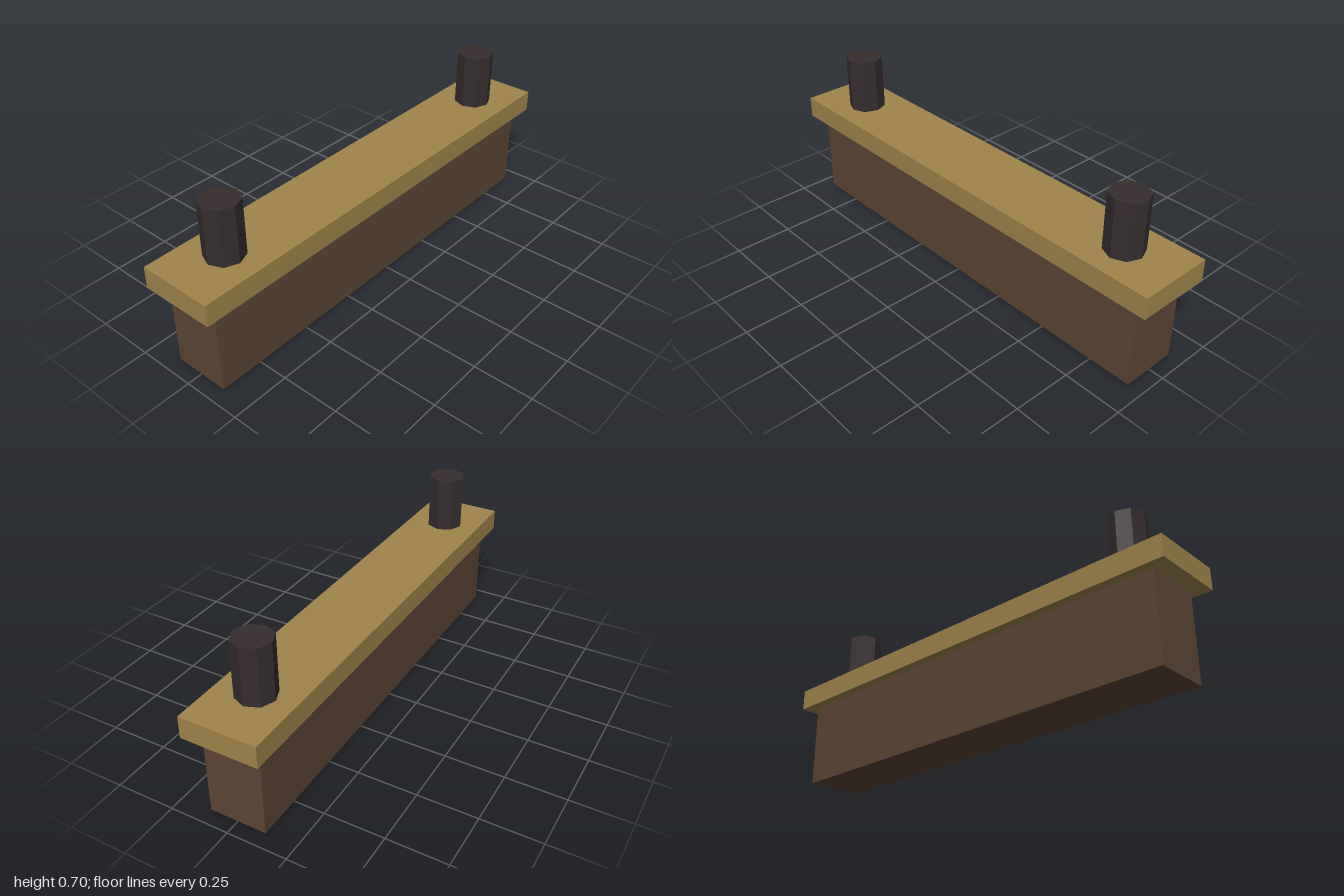
import * as THREE from 'three';

const mat = (name, color) => {
  const m = new THREE.MeshStandardMaterial({ color });
  m.name = name;
  return m;
};

export function createModel() {
  const model = new THREE.Group();
  model.name = 'postedWall';

  const brown = mat('dark brown', 0x5c4535);
  const tan = mat('tan', 0xa0844a);
  const charcoal = mat('charcoal', 0x362d2f);

  const add = (name, geometry, material, y, z = 0) => {
    const mesh = new THREE.Mesh(geometry, material);
    mesh.name = name;
    mesh.position.set(0, y, z);
    model.add(mesh);
  };

  // Long base with an overhanging slab on top
  add('base', new THREE.BoxGeometry(0.24, 0.37, 1.87), brown, 0.185);
  add('topSlab', new THREE.BoxGeometry(0.32, 0.092, 2), tan, 0.415);

  // Eight-sided posts near both ends, faceted by non-indexed normals
  const post = new THREE.CylinderGeometry(0.08, 0.08, 0.24, 8).toNonIndexed();
  post.computeVertexNormals();
  add('frontPost', post, charcoal, 0.58, 0.767);
  add('backPost', post, charcoal, 0.58, -0.767);

  return model;
}
